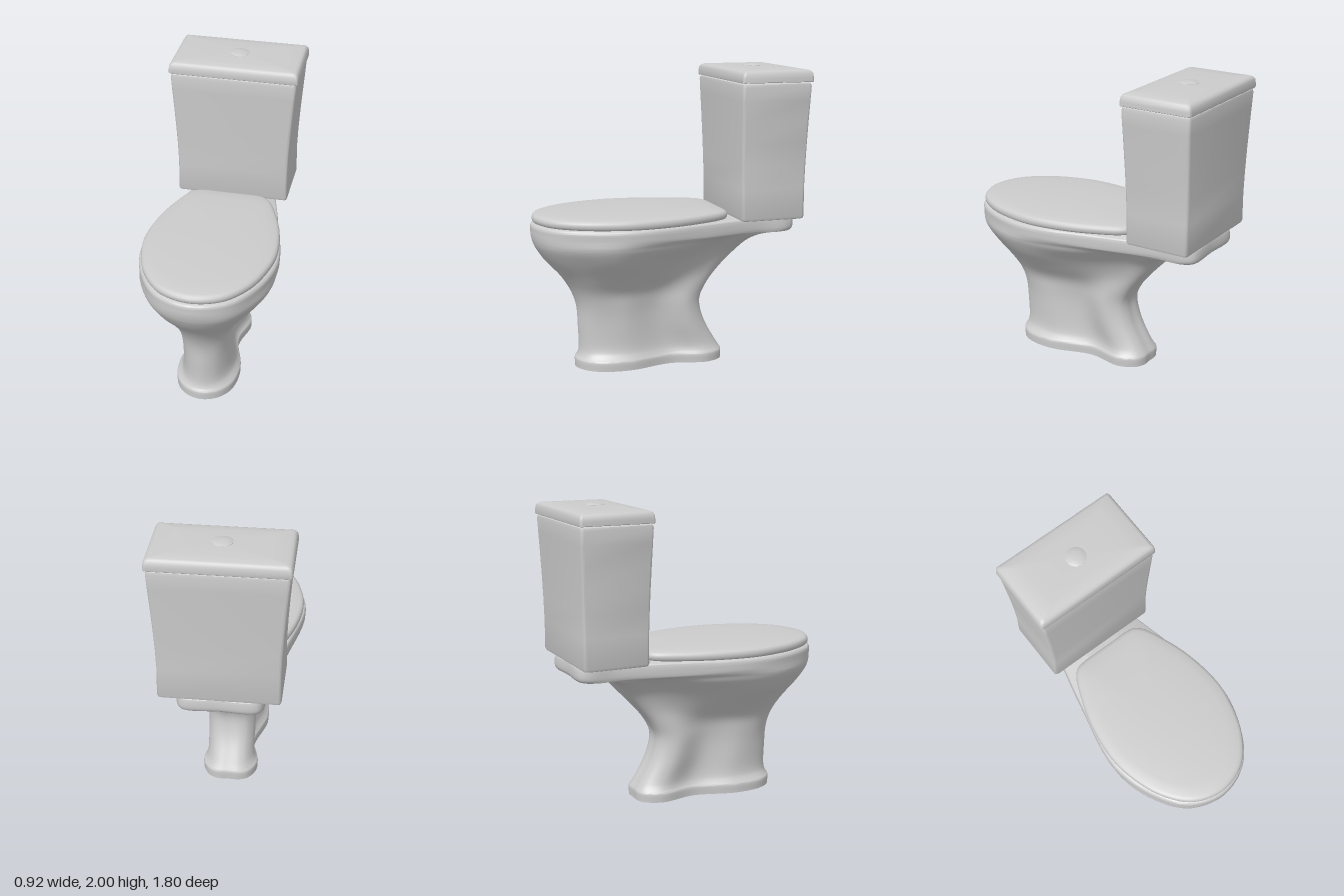
import * as THREE from 'three';
import { toCreasedNormals } from 'three/addons/utils/BufferGeometryUtils.js';

const material = new THREE.MeshStandardMaterial({ color: 0xcccccc, side: THREE.DoubleSide });
const V = (x, y, z) => new THREE.Vector3(x, y, z);
const { lerp, smoothstep } = THREE.MathUtils;

// Skin over closed rings of equal length, ordered bottom to top
function loft(name, rings, capBottom = true, crease = 0.7) {
  const n = rings[0].length, last = (rings.length - 1) * n;
  const pos = rings.flat().flatMap(p => [p.x, p.y, p.z]);
  const index = [];
  for (let i = 0; i < rings.length - 1; i++)
    for (let j = 0; j < n; j++) {
      const a = i * n + j, b = i * n + (j + 1) % n;
      index.push(a, b, b + n, a, b + n, a + n);
    }
  const cap = (ring, start, up) => {
    const c = ring.reduce((s, p) => s.add(p), V(0, 0, 0)).divideScalar(n);
    const k = pos.length / 3;
    pos.push(c.x, c.y, c.z);
    for (let j = 0; j < n; j++) {
      const a = start + j, b = start + (j + 1) % n;
      index.push(k, up ? a : b, up ? b : a);
    }
  };
  cap(rings[rings.length - 1], last, true);
  if (capBottom) cap(rings[0], 0, false);
  const geo = new THREE.BufferGeometry();
  geo.setAttribute('position', new THREE.Float32BufferAttribute(pos, 3));
  geo.setIndex(index);
  const mesh = new THREE.Mesh(toCreasedNormals(geo, crease), material);
  mesh.name = name;
  return mesh;
}

// Smooth closed outline from a half outline that runs front centre to back centre
function mirroredOutline(half, count) {
  const other = half.slice(1, -1).reverse().map(p => V(-p.x, p.y, p.z));
  const curve = new THREE.CatmullRomCurve3([...half, ...other], true);
  return Array.from({ length: count }, (_, k) => curve.getPoint(k / count));
}

// Rounded rectangle ring between two depths
function rectRing(y, hw, zFront, zBack, r) {
  const cz = (zFront + zBack) / 2, hd = (zFront - zBack) / 2, ring = [];
  [[1, 1], [1, -1], [-1, -1], [-1, 1]].forEach(([sx, sz], q) => {
    for (let k = 0; k <= 5; k++) {
      const a = Math.PI / 2 - (q + k / 5) * Math.PI / 2;
      ring.push(V(sx * (hw - r) + r * Math.cos(a), y, cz + sz * (hd - r) + r * Math.sin(a)));
    }
  });
  return ring;
}

// Half section of the bowl: nose, belly, waist, haunch and rear corner
function bowlSection([y, zf, zb, nose, belly, waist, haunch, drop = 0]) {
  const yb = y - drop;
  const corner = haunch * lerp(0.72, 0.985, smoothstep(yb, 0.68, 0.92));
  const at = (t, x) => V(x, lerp(y, yb, smoothstep(t, 0.25, 0.9)), lerp(zf, zb, t));
  return [
    at(0, 0), at(0.04, nose * 0.605), at(0.14, nose), at(0.33, belly), at(0.62, waist),
    at(0.86, haunch), at(0.97, corner),
    at(1, corner * lerp(0.55, 0.85, smoothstep(yb, 0.5, 0.9))), at(1, 0),
  ];
}

// Pedestal, bowl and rear shelf in one skin, open underneath
function bowl() {
  // height, front z, back z, four half widths, drop of the rear
  const sections = [
    [0, .615, -.39, .187, .21, .14, .185],
    [.062, .615, -.39, .187, .21, .14, .185],
    [.075, .605, -.383, .177, .2, .13, .175],
    [.115, .592, -.358, .152, .178, .115, .16],
    [.28, .595, -.268, .14, .17, .115, .16],
    [.42, .605, -.24, .15, .174, .125, .16],
    [.52, .64, -.283, .17, .19, .145, .155],
    [.63, .71, -.37, .225, .27, .21, .15],
    [.75, .82, -.48, .285, .375, .29, .175],
    [.84, .878, -.55, .33, .43, .365, .23, .005],
    [.875, .891, -.63, .343, .445, .375, .26, .001],
    [.9, .897, -.74, .35, .452, .375, .268, .013],
    [.925, .9, -.83, .355, .456, .37, .272, .033],
    [.945, .9, -.846, .357, .457, .37, .276, .033],
    [.97, .9, -.846, .357, .457, .37, .276, .005],
    [.986, .893, -.84, .35, .45, .365, .272],
    [.992, .88, -.825, .34, .44, .355, .262],
  ].map(bowlSection);
  const columns = sections[0].map((_, j) => new THREE.CatmullRomCurve3(sections.map(s => s[j])));
  const steps = (sections.length - 1) * 5;
  const rings = [];
  for (let i = 0; i <= steps; i++)
    rings.push(mirroredOutline(columns.map(c => c.getPoint(i / steps)), 96));
  return loft('bowl', rings, false, 0.9);
}

// Closed seat lid with rounded edge and shallow dome
function seatLid() {
  const half = [[0, .89], [.2, .83], [.345, .66], [.428, .42], [.444, .25], [.41, 0],
    [.345, -.2], [.287, -.325], [.24, -.372], [.18, -.385], [.08, -.386], [0, -.386]]
    .map(([x, z]) => V(x, 0, z));
  const outline = mirroredOutline(half, 120), cz = 0.25;
  const rings = [[.992, .965], [.997, .985], [1.008, .997], [1.022, 1], [1.036, .994], [1.046, .978],
    [1.052, .945], [1.059, .82], [1.067, .6], [1.072, .3]]
    .map(([y, s]) => outline.map(p => V(p.x * s, y, cz + (p.z - cz) * s)));
  return loft('seatLid', rings);
}

// Tank with sides that flare gently towards the top
function tank() {
  const rings = [[.99, .37, -.44, -.85], [.994, .38, -.43, -.86], [1.01, .386, -.425, -.865],
    [1.2, .383, -.423, -.866], [1.35, .388, -.42, -.869], [1.5, .397, -.416, -.873],
    [1.65, .408, -.412, -.878], [1.78, .418, -.408, -.883], [1.87, .424, -.405, -.887],
    [1.89, .42, -.409, -.883], [1.9, .405, -.425, -.868]]
    .map(([y, w, f, b]) => rectRing(y, w, f, b, 0.02));
  return loft('tank', rings);
}

// Tank lid with a slightly crowned top
function tankLid() {
  const rings = [[1.9, .432, .002], [1.903, .436, 0], [1.93, .436, .001], [1.955, .432, .004],
    [1.97, .423, .013], [1.977, .405, .03], [1.984, .3, .09], [1.988, .15, .16]]
    .map(([y, w, inset]) => rectRing(y, w, -.4 - inset, -.895 + inset, 0.018));
  return loft('tankLid', rings);
}

// Round, slightly domed push button
function flushButton() {
  const profile = [[0, 1.975], [.066, 1.975], [.066, 1.989], [.055, 1.994], [.03, 1.998], [0, 2]]
    .map(([x, y]) => new THREE.Vector2(x, y));
  const mesh = new THREE.Mesh(toCreasedNormals(new THREE.LatheGeometry(profile, 40), 0.7), material);
  mesh.name = 'flushButton';
  mesh.position.z = -0.64;
  return mesh;
}

export function createModel() {
  const group = new THREE.Group();
  group.name = 'toilet';
  group.add(bowl(), seatLid(), tank(), tankLid(), flushButton());
  return group;
}
